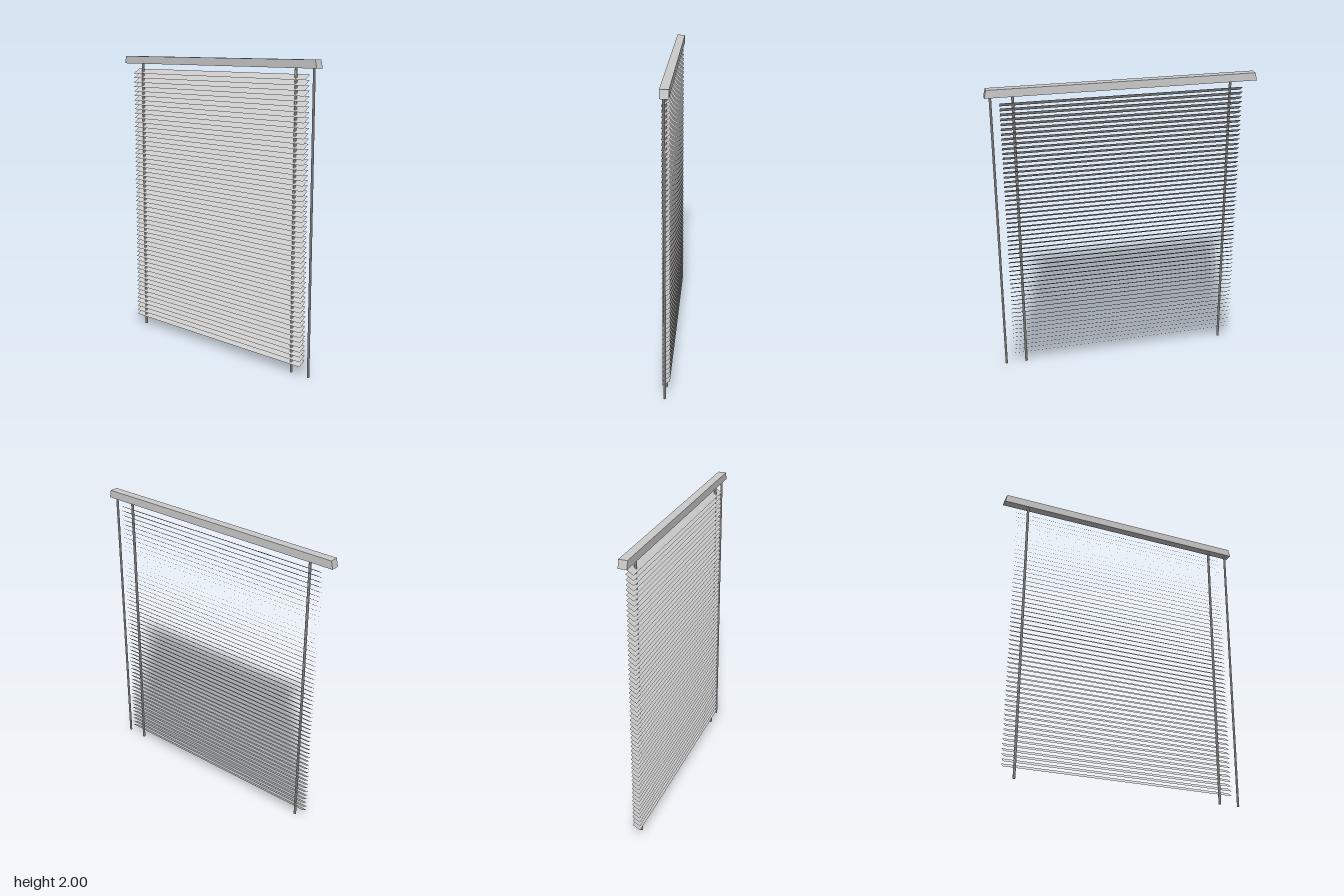
import * as THREE from 'three';

const grey = new THREE.MeshStandardMaterial({ color: 0xcccccc, flatShading: true });
const thinGrey = new THREE.MeshStandardMaterial({ color: 0xcccccc, flatShading: true, side: THREE.DoubleSide });

export function createModel() {
  const group = new THREE.Group();
  const add = (name, geometry, material = grey) => {
    const mesh = new THREE.Mesh(geometry, material);
    mesh.name = name;
    group.add(mesh);
    return mesh;
  };

  // Headrail: box with ends that flare outward at the bottom
  const rail = new THREE.BoxGeometry(1.764, 0.052, 0.056);
  const pos = rail.attributes.position;
  for (let i = 0; i < pos.count; i++) {
    if (pos.getY(i) < 0) pos.setX(i, Math.sign(pos.getX(i)) * 0.894);
  }
  rail.computeVertexNormals();
  add('headrail', rail).position.y = 1.974;

  // Slats: thin blades, front edge low and back edge high
  const count = 57, low = 0.06, rise = 0.033, depth = 0.05;
  const pitch = (1.91 - low - rise) / (count - 1);
  const blade = new THREE.PlaneGeometry(1.6, Math.hypot(rise, depth));
  blade.rotateX(-Math.atan2(depth, rise));
  for (let i = 0; i < count; i++) {
    add('slat', blade, thinGrey).position.y = low + rise / 2 + i * pitch;
  }

  // Ladder cords through the slats, and the tilt wand beside them
  const hang = (name, x, radius) => {
    const length = 1.95;
    add(name, new THREE.CylinderGeometry(radius, radius, length, 8)).position.set(x, length / 2, 0.004);
  };
  hang('rightCord', -0.72, 0.009);
  hang('leftCord', 0.715, 0.009);
  hang('tiltWand', 0.856, 0.008);

  return group;
}
